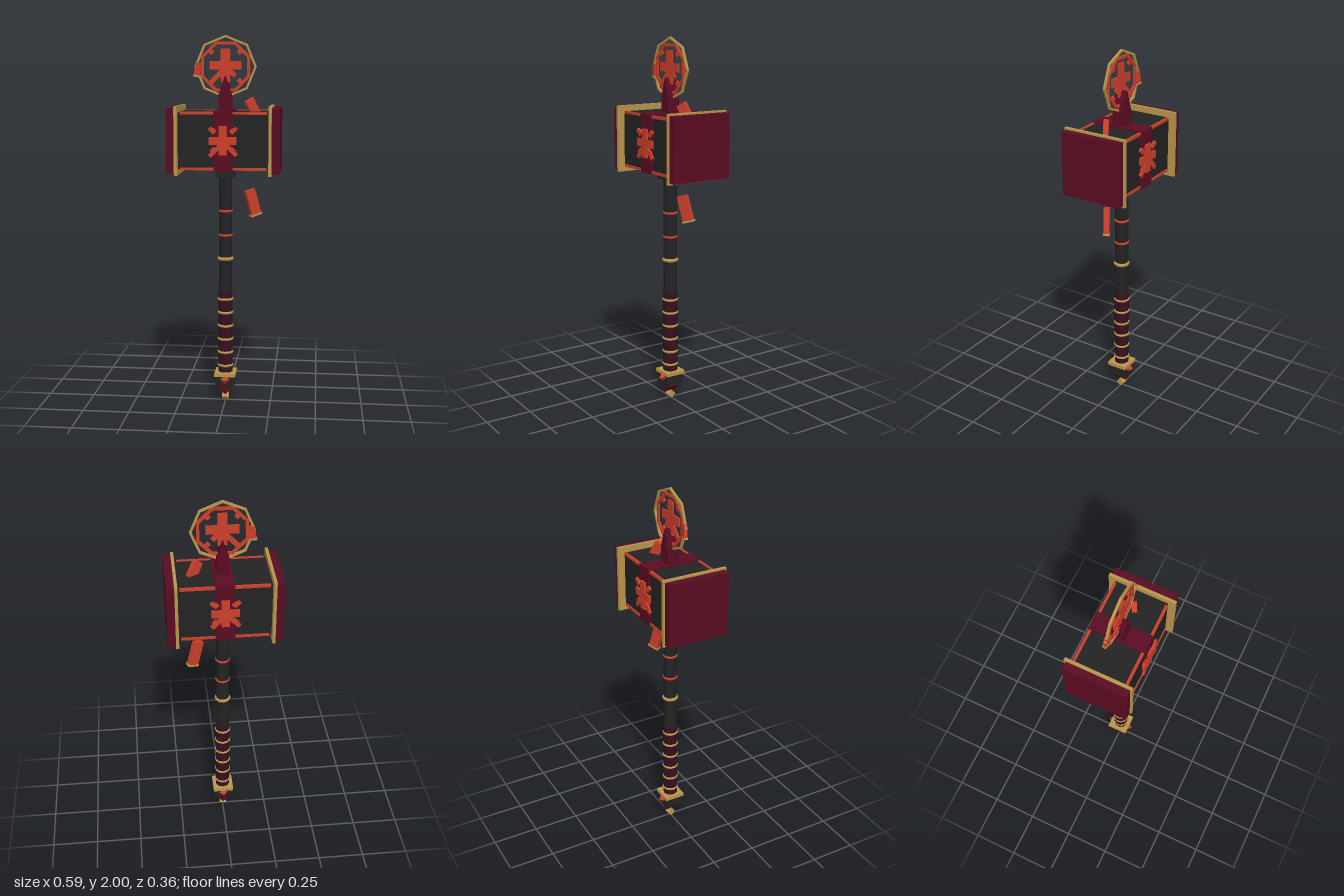
import * as THREE from 'three';

const mat = (name, color) => {
  const m = new THREE.MeshStandardMaterial({ color, flatShading: true });
  m.name = name;
  return m;
};

export function createModel() {
  const black = mat('charcoal', 0x232323);
  const maroon = mat('maroon', 0x5a0c22);
  const grip = mat('dark wine', 0x36101f);
  const gold = mat('gold', 0xb8954a);
  const red = mat('ember red', 0xcb3f2a);
  const root = new THREE.Group();
  root.name = 'warHammer';

  const add = (name, geo, m, x = 0, y = 0, z = 0, parent = root) => {
    const mesh = new THREE.Mesh(geo, m);
    mesh.name = name;
    mesh.position.set(x, y, z);
    parent.add(mesh);
    return mesh;
  };
  const box = (name, w, h, d, m, x, y, z, parent) =>
    add(name, new THREE.BoxGeometry(w, h, d), m, x, y, z, parent);
  const post = (name, r, y0, y1, m) =>
    add(name, new THREE.CylinderGeometry(r, r, y1 - y0, 10), m, 0, (y0 + y1) / 2);
  const band = (name, y, r, tube, m) => {
    add(name, new THREE.TorusGeometry(r, tube, 6, 12), m, 0, y).rotation.x = Math.PI / 2;
  };

  // Handle and wrapped grip
  post('shaft', 0.036, 0.6, 1.28, black);
  post('grip', 0.04, 0.14, 0.62, grip);
  for (let i = 0; i < 6; i++) band('gripRing', 0.205 + i * 0.075, 0.037, 0.008, gold);
  band('shaftRing', 0.805, 0.034, 0.011, gold);
  band('emberRing', 0.935, 0.033, 0.008, red);
  band('emberRing', 1.067, 0.033, 0.008, red);

  // Pommel
  box('pommelPlate', 0.115, 0.02, 0.115, gold, 0, 0.157, 0);
  box('pommel', 0.1, 0.06, 0.1, black, 0, 0.12, 0);
  box('pommelPoint', 0.057, 0.057, 0.066, maroon, 0, 0.08, 0).rotation.z = Math.PI / 4;
  box('pommelTip', 0.036, 0.032, 0.032, gold, 0, 0.0226, 0).rotation.x = Math.PI / 4;
  for (const s of [-1, 1]) add('pommelGem', new THREE.OctahedronGeometry(0.028), red, 0, 0.13, s * 0.048);

  // Hammer head
  box('headCollar', 0.1, 0.06, 0.1, black, 0, 1.282, 0);
  box('headBlock', 0.476, 0.296, 0.282, black, 0, 1.452, 0);
  box('headBand', 0.1, 0.312, 0.304, maroon, 0, 1.452, 0);
  for (const s of [-1, 1]) {
    box('endFrame', 0.016, 0.36, 0.36, gold, s * 0.246, 1.452, 0);
    box('endCap', 0.042, 0.34, 0.34, maroon, s * 0.274, 1.452, 0);
    for (const y of [1.307, 1.597])
      box('edgeStrip', 0.454, 0.014, 0.014, red, 0, y, s * 0.14);
  }

  // Top spike with its ridge along z
  const profile = new THREE.Shape();
  [[-0.034, 1.59], [0.034, 1.59], [0.034, 1.69], [0, 1.79], [-0.034, 1.69]]
    .forEach(([x, y], i) => (i ? profile.lineTo(x, y) : profile.moveTo(x, y)));
  const spike = new THREE.ExtrudeGeometry(profile, { depth: 0.068, bevelEnabled: false });
  add('topSpike', spike, maroon, 0, 0, -0.034);

  // Rune: cross, diagonal strokes and corner diamonds
  const rune = (name, y, z, k, depth) => {
    const g = new THREE.Group();
    g.name = name;
    g.position.set(0, y, z);
    box('runeUpright', 0.05 * k, 0.176 * k, depth, red, 0, 0, 0, g);
    box('runeCrossbar', 0.168 * k, 0.046 * k, depth * 0.94, red, 0, 0, 0, g);
    for (const s of [-1, 1]) {
      const leg = box('runeStroke', 0.026 * k, (s < 0 ? 0.11 : 0.06) * k, depth * 0.88, red,
        s * (s < 0 ? 0.042 : 0.03) * k, (s < 0 ? -0.055 : -0.035) * k, 0, g);
      leg.rotation.z = s * Math.PI / 4;
    }
    for (const [x, v] of [[-1, 1], [1, 1], [1, -1]])
      box('runeDiamond', 0.024 * k, 0.024 * k, depth * 0.9, red,
        x * 0.075 * k, v * 0.075 * k - 0.005 * k, 0, g).rotation.z = Math.PI / 4;
    root.add(g);
    return g;
  };
  for (const s of [-1, 1]) {
    const r = rune('headRune', 1.455, s * 0.157, 0.86, 0.014);
    if (s < 0) r.rotation.y = Math.PI;
    for (const x of [-1, 1]) for (const y of [-1, 1])
      box('runeStud', 0.026, 0.026, 0.01, red, x * 0.05, 1.455 + y * 0.05, s * 0.157).rotation.z = Math.PI / 4;
  }
  rune('haloRune', 1.842, 0.004, 1, 0.01);

  // Octagonal halo rings
  const ring = (name, outer, inner, turn, depth, m) => {
    const path = (p, r) => {
      for (let i = 0; i <= 8; i++) {
        const a = i * Math.PI / 4 + turn;
        const v = [Math.cos(a) * r, Math.sin(a) * r];
        i ? p.lineTo(...v) : p.moveTo(...v);
      }
      return p;
    };
    const shape = path(new THREE.Shape(), outer);
    shape.holes.push(path(new THREE.Path(), inner));
    add(name, new THREE.ExtrudeGeometry(shape, { depth, bevelEnabled: false }), m, 0, 1.835, -depth / 2);
  };
  ring('outerHalo', 0.165, 0.153, 0, 0.012, gold);
  ring('innerHalo', 0.141, 0.124, Math.PI / 8, 0.01, red);

  // Floating shards, each with a gold foot
  const shard = (x, y, z, w, h, d, ry, rz) => {
    const g = new THREE.Group();
    g.name = 'shard';
    g.position.set(x, y, z);
    g.rotation.set(0, ry, rz);
    box('shardBody', w, h, d, red, 0, 0, 0, g);
    box('shardFoot', w * 1.15, 0.01, d * 1.15, gold, 0, -h / 2, 0, g);
    root.add(g);
  };
  shard(0.146, 1.115, 0, 0.055, 0.14, 0.03, 0.5, 0.28);
  shard(0.147, 1.615, 0, 0.052, 0.11, 0.026, 0.5, 0.5);
  shard(-0.147, 1.82, 0, 0.034, 0.07, 0.018, -0.25, -0.15);
  shard(-0.152, 1.345, 0, 0.055, 0.1, 0.026, -0.4, -0.25);

  return root;
}
